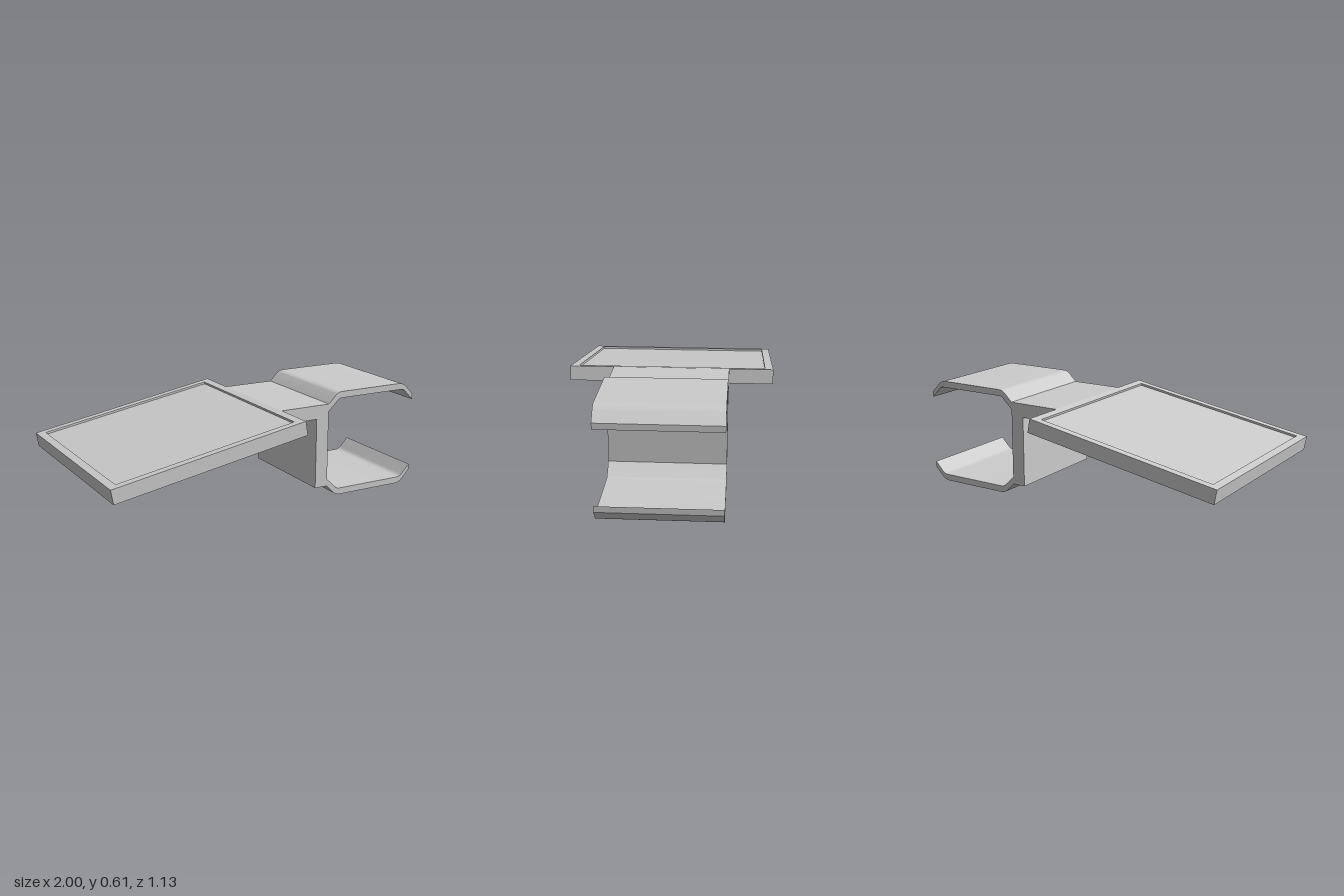
import * as THREE from 'three';
import { toCreasedNormals } from 'three/addons/utils/BufferGeometryUtils.js';

const material = new THREE.MeshStandardMaterial({ color: 0xcccccc });
const BRACKET_WIDTH = 0.644;
const MID_Y = 0.305; // mirror height of the two clip jaws

function add(parent, name, geometry) {
  const mesh = new THREE.Mesh(geometry, material);
  mesh.name = name;
  parent.add(mesh);
  return mesh;
}

// Extrudes a side profile across the bracket width, centred on z = 0
function extrudeAcross(shape) {
  const geo = new THREE.ExtrudeGeometry(shape, { depth: BRACKET_WIDTH, bevelEnabled: false, curveSegments: 8 });
  geo.translate(0, 0, -BRACKET_WIDTH / 2);
  return toCreasedNormals(geo, 0.5);
}

const polygon = (points) => new THREE.Shape(points.map(([x, y]) => new THREE.Vector2(x, y)));

// Thin spring jaw with rounded bends; side = 1 is the upper one, -1 the lower one
function jawShape(side) {
  const y = (v) => MID_Y + side * (v - MID_Y);
  const s = new THREE.Shape();
  s.moveTo(0.415, y(0.548));
  s.lineTo(0.46, y(0.592));
  s.quadraticCurveTo(0.478, y(0.61), 0.505, y(0.61));
  s.lineTo(0.9, y(0.61));
  s.quadraticCurveTo(0.931, y(0.61), 0.952, y(0.588));
  s.lineTo(1.0, y(0.538));
  s.lineTo(1.0, y(0.505));
  s.lineTo(0.948, y(0.559));
  s.quadraticCurveTo(0.935, y(0.573), 0.912, y(0.573));
  s.lineTo(0.5, y(0.573));
  s.quadraticCurveTo(0.486, y(0.573), 0.476, y(0.563));
  s.lineTo(0.415, y(0.505));
  s.closePath();
  return s;
}

export function createModel() {
  const model = new THREE.Group();

  // Tilted plate, pivoted on its upper right edge
  const plate = new THREE.Group();
  plate.name = 'tiltedPlate';
  plate.position.set(0.108, 0.548, 0);
  plate.rotation.z = THREE.MathUtils.degToRad(10);
  model.add(plate);
  const length = 1.125, width = 1.13, thick = 0.08, recess = 0.012, border = 0.045;

  const base = new THREE.BoxGeometry(length, thick - recess, width);
  base.translate(-length / 2, -(thick + recess) / 2, 0);
  add(plate, 'plateBase', base);

  // Raised rim around the shallow recess
  const rect = (Type, inset) => {
    const x = length / 2 - inset, y = width / 2 - inset;
    return new Type([[-x, -y], [x, -y], [x, y], [-x, y]].map(([a, b]) => new THREE.Vector2(a, b)));
  };
  const rimShape = rect(THREE.Shape, 0);
  rimShape.holes.push(rect(THREE.Path, border));
  const rim = new THREE.ExtrudeGeometry(rimShape, { depth: recess, bevelEnabled: false });
  rim.rotateX(-Math.PI / 2);
  rim.translate(-length / 2, -recess, 0);
  add(plate, 'plateRim', rim);

  // Angled bracket: horizontal arm and upright post in one profile
  add(model, 'bracketArmAndPost', extrudeAcross(polygon([
    [0.108, 0.548], [0.122, 0.469], [0.336, 0.469],
    [0.336, 0.064], [0.415, 0.064], [0.415, 0.548],
  ])));

  // Upper and lower clip jaws
  add(model, 'upperJaw', extrudeAcross(jawShape(1)));
  add(model, 'lowerJaw', extrudeAcross(jawShape(-1)));

  return model;
}
